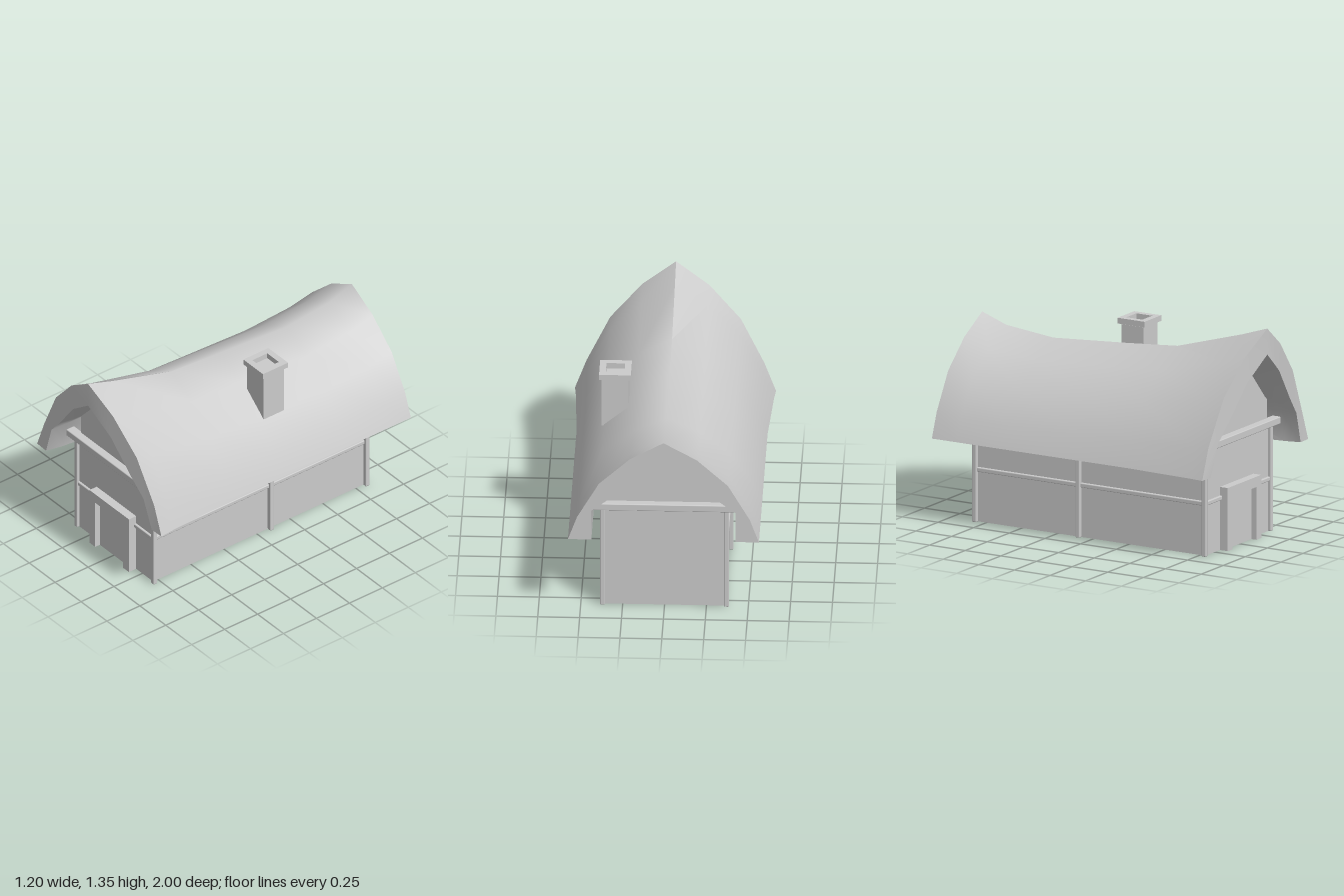
import * as THREE from 'three';
import { toCreasedNormals } from 'three/addons/utils/BufferGeometryUtils.js';
import { RoundedBoxGeometry } from 'three/addons/geometries/RoundedBoxGeometry.js';

const material = new THREE.MeshStandardMaterial({ color: 0xcccccc });

function add(group, name, geometry, x = 0, y = 0, z = 0) {
  const mesh = new THREE.Mesh(geometry, material);
  mesh.name = name;
  mesh.position.set(x, y, z);
  group.add(mesh);
  return mesh;
}

const box = (w, h, d) => new THREE.BoxGeometry(w, h, d);
// Timber with softened edges
const timber = (w, h, d) => new RoundedBoxGeometry(w, h, d, 1, 0.006);

function extrude(points, depth, hole) {
  const toVec = ([x, y]) => new THREE.Vector2(x, y);
  const shape = new THREE.Shape(points.map(toVec));
  if (hole) shape.holes.push(new THREE.Path(hole.map(toVec)));
  return new THREE.ExtrudeGeometry(shape, { depth, bevelEnabled: false });
}

const rect = (x, y) => [[-x, -y], [x, -y], [x, y], [-x, y]];

// Swaybacked thatch: closed cross-sections lofted from front to back
function roofGeometry() {
  const eave = 0.53;
  const ridges = [[1, 1.35], [0.82, 1.29], [0.37, 1.16], [0, 1.13], [-0.5, 1.095], [-0.83, 1.13], [-1, 1.19]];
  const rise = [1, 0.83, 0.573, 0.23, 0];
  const innerLow = [0.97, 0.89, 0.77, 0.725, eave];
  const innerHigh = [1.19, 1.05, 0.84, 0.725, eave];
  const mirror = (half) => [...half.slice(1).reverse().map(([x, y]) => [-x, y]), ...half];

  const positions = [];
  ridges.forEach(([z, ridge], row) => {
    const flare = Math.max(0, (z - 0.37) / 0.63);
    const t = (ridge - 1.13) / 0.22;
    const outerX = [0, 0.2, 0.385 + 0.005 * flare, 0.515 + 0.015 * flare, 0.57 + 0.03 * flare];
    const innerX = [0, 0.18, 0.345, 0.43 + 0.015 * flare, 0.43 + 0.08 * flare];
    const outer = mirror(outerX.map((x, i) => [x, eave + (ridge - eave) * rise[i]]));
    const inner = mirror(innerX.map((x, i) => [x, THREE.MathUtils.lerp(innerLow[i], innerHigh[i], t)]));
    for (const [x, y] of [...outer, ...inner.reverse()]) {
      // The front edge sweeps forward to a point at the ridge
      const sweep = row === 0 ? 0.16 * Math.min(Math.abs(x), 0.53) : 0;
      positions.push(x, y, z - sweep);
    }
  });

  const n = 18, last = (ridges.length - 1) * n, index = [];
  const quad = (a, b, c, d) => index.push(a, b, c, a, c, d);
  for (let j = 0; j < ridges.length - 1; j++) {
    for (let i = 0; i < n; i++) {
      const k = (i + 1) % n;
      quad(j * n + i, j * n + k, (j + 1) * n + k, (j + 1) * n + i);
    }
  }
  for (let i = 0; i < 8; i++) {
    quad(i, 17 - i, 16 - i, i + 1);
    quad(last + i, last + i + 1, last + 16 - i, last + 17 - i);
  }
  const geometry = new THREE.BufferGeometry();
  geometry.setAttribute('position', new THREE.Float32BufferAttribute(positions, 3));
  geometry.setIndex(index);
  return toCreasedNormals(geometry, 1.0);
}

export function createModel() {
  const house = new THREE.Group();
  house.name = 'cottage';

  // Walls
  add(house, 'walls', box(0.71, 0.69, 1.6), 0, 0.345, -0.015);
  const gable = (shoulder, mid, peak) => extrude(
    [[-0.35, 0.67], [0.35, 0.67], [0.35, shoulder], [0.18, mid], [0, peak], [-0.18, mid], [-0.35, shoulder]], 0.03);
  add(house, 'frontGable', gable(0.86, 1.08, 1.2), 0, 0, 0.75);
  add(house, 'backGable', gable(0.8, 0.92, 1.03), 0, 0, -0.81);

  // Timber frame
  for (const side of [-1, 1]) {
    for (const z of [0.79, -0.095, -0.82]) {
      add(house, 'post', timber(0.03, 0.66, 0.03), side * 0.37, 0.33, z);
    }
    add(house, 'sideRail', timber(0.025, 0.027, 1.6), side * 0.36, 0.322, -0.015);
  }
  add(house, 'frontRail', timber(0.72, 0.027, 0.025), 0, 0.322, 0.787);
  for (const [name, z] of [['frontBeam', 0.8], ['backBeam', -0.825]]) {
    add(house, name, timber(0.86, 0.045, 0.06), 0, 0.672, z);
  }

  // Door surround and the door leaf set back inside it
  add(house, 'doorFrame', extrude([[-0.19, 0], [-0.135, 0], [-0.135, 0.325], [0.135, 0.325],
    [0.135, 0], [0.19, 0], [0.19, 0.388], [-0.19, 0.388]], 0.07), 0, 0, 0.77);
  add(house, 'door', box(0.27, 0.325, 0.03), 0, 0.1625, 0.79);

  // Roof
  add(house, 'roof', roofGeometry());

  // Chimney with an open, capped top
  const chimney = new THREE.Group();
  chimney.name = 'chimney';
  chimney.position.set(0.32, 0, -0.095);
  add(chimney, 'chimneyStack', box(0.16, 0.31, 0.155), 0, 1.015, 0);
  const cap = extrude(rect(0.095, 0.095), 0.035, rect(0.056, 0.056));
  cap.rotateX(-Math.PI / 2);
  add(chimney, 'chimneyCap', cap, 0, 1.175, 0);
  house.add(chimney);

  return house;
}
